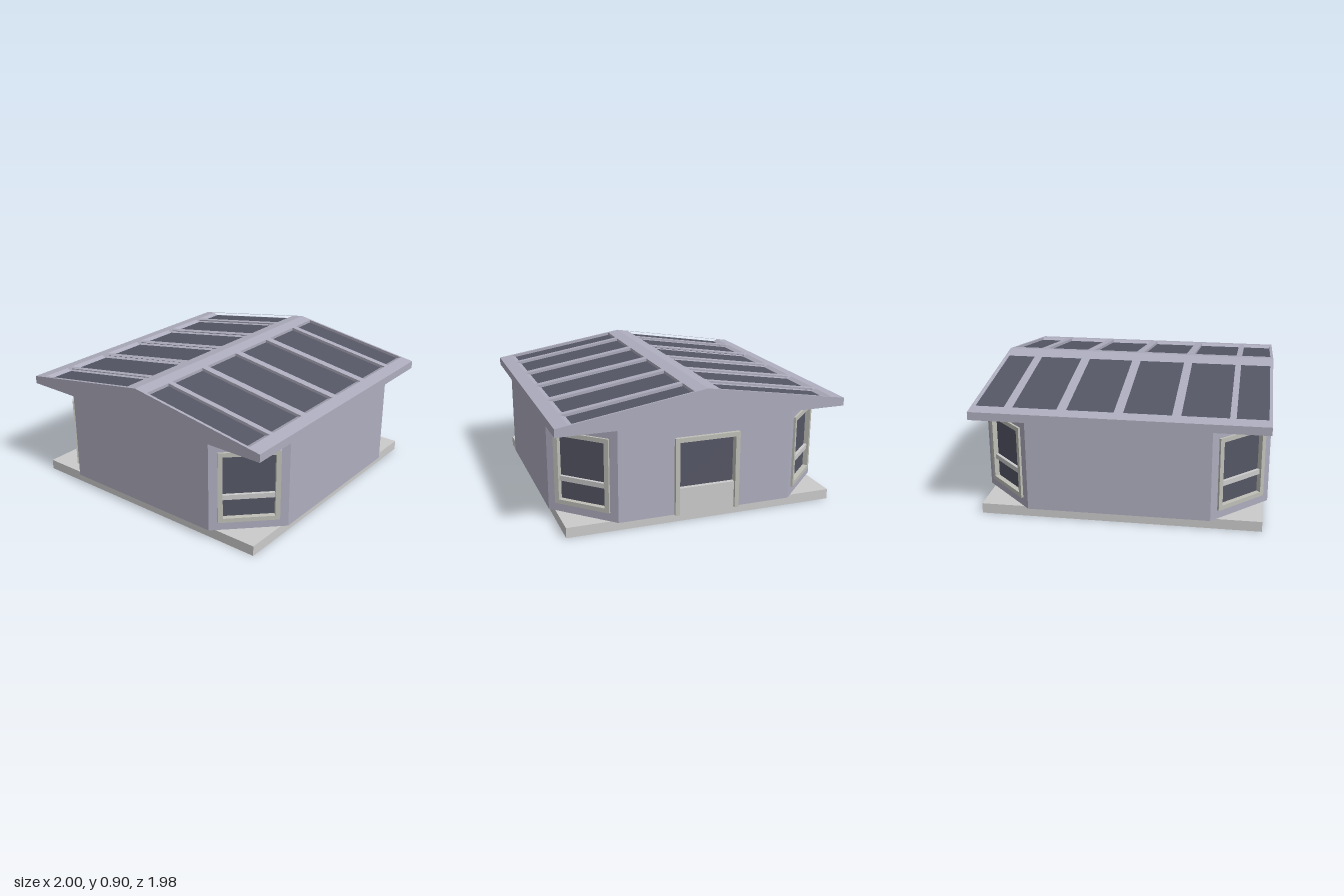
import * as THREE from 'three';

const mat = (color) => new THREE.MeshStandardMaterial({ color });
const wallMat = mat(0xaeadbe);
const glassMat = mat(0x545665);
const trimMat = mat(0xbfbfb8);
const greyMat = mat(0xcccccc);
const undersideMat = mat(0xf06a4a);

const FRONT = 0.985, BACK = -0.965, MID = (FRONT + BACK) / 2, LENGTH = FRONT - BACK;
const FLOOR = 0.07, EAVE = 0.69, SLOPE = 0.16, RIDGE = 0.905, RECESS = 0.022;

function mesh(name, geometry, material, parent) {
  const m = new THREE.Mesh(geometry, material);
  m.name = name;
  parent.add(m);
  return m;
}

function box(name, w, h, d, x, y, z, material, parent) {
  const m = mesh(name, new THREE.BoxGeometry(w, h, d), material, parent);
  m.position.set(x, y, z);
  return m;
}

const polygon = (points) => new THREE.Shape(points.map(([x, y]) => new THREE.Vector2(x, y)));
const rect = (x0, y0, x1, y1) => polygon([[x0, y0], [x1, y0], [x1, y1], [x0, y1]]);
const extrude = (shape, depth) => new THREE.ExtrudeGeometry(shape, { depth, bevelEnabled: false });

// Upright slab over a plan shape, sheared to follow the roof pitch
function pitched(shape, depth, y) {
  const g = extrude(shape, depth).rotateX(-Math.PI / 2).translate(0, y, 0);
  const p = g.attributes.position;
  for (let i = 0; i < p.count; i++) p.setY(i, p.getY(i) - SLOPE * Math.abs(p.getX(i)));
  g.computeVertexNormals();
  return g;
}

// Corner window in wall coordinates: +z points outward
function addWindow(parent) {
  const group = new THREE.Group();
  group.name = 'cornerWindow';
  const outline = rect(-0.202, 0.13, 0.202, 0.63);
  outline.holes.push(rect(-0.17, 0.16, 0.17, 0.6));
  mesh('windowFrame', extrude(outline, 0.037).translate(0, 0, -0.022), trimMat, group);
  box('windowGlass', 0.35, 0.45, 0.006, 0, 0.38, -0.023, glassMat, group);
  box('windowBar', 0.338, 0.034, 0.022, 0, 0.306, -0.01, greyMat, group);
  parent.add(group);
}

// Door in wall coordinates: +z points outward
function addDoor(parent) {
  const group = new THREE.Group();
  group.name = 'door';
  const outline = polygon([[-0.225, FLOOR], [-0.195, FLOOR], [-0.195, 0.57], [0.195, 0.57],
    [0.195, FLOOR], [0.225, FLOOR], [0.225, 0.6], [-0.225, 0.6]]);
  mesh('doorFrame', extrude(outline, 0.055).translate(0, 0, -0.03), trimMat, group);
  box('doorPanel', 0.39, 0.18, 0.036, 0, 0.16, -0.012, greyMat, group);
  box('doorGlass', 0.4, 0.33, 0.006, 0, 0.41, -0.027, glassMat, group);
  parent.add(group);
}

function addWalls(model) {
  const walls = new THREE.Group();
  walls.name = 'walls';
  model.add(walls);
  const plan = [[0.605, FRONT], [0.975, 0.62], [0.975, -0.595], [0.605, BACK],
    [-0.605, BACK], [-0.975, -0.595], [-0.975, 0.62], [-0.605, FRONT]];
  plan.forEach(([ax, az], i) => {
    const [bx, bz] = plan[(i + 1) % plan.length];
    const half = Math.hypot(bx - ax, bz - az) / 2;
    const side = new THREE.Group();
    side.name = 'wallSide';
    side.position.set((ax + bx) / 2, 0, (az + bz) / 2);
    side.rotation.y = Math.atan2(-(bz - az), bx - ax);
    const shape = rect(-half, FLOOR, half, EAVE);
    const isCorner = i % 2 === 0, isBack = i === 3;
    if (isCorner) shape.holes.push(rect(-0.17, 0.16, 0.17, 0.6));
    if (isBack) shape.holes.push(rect(-0.195, 0.25, 0.195, 0.57));
    mesh('wallPanel', new THREE.ShapeGeometry(shape), wallMat, side);
    if (isCorner) addWindow(side);
    if (isBack) addDoor(side);
    walls.add(side);
  });
  // Underside of the walls where they overhang the slab
  const cap = new THREE.ShapeGeometry(polygon(plan)).rotateX(Math.PI / 2);
  mesh('wallUnderside', cap.translate(0, FLOOR + 0.001, 0), wallMat, walls);
}

function addRoof(model) {
  const roof = new THREE.Group();
  roof.name = 'roof';
  model.add(roof);
  const top = RIDGE - RECESS;
  const profile = polygon([[-1, EAVE], [1, EAVE], [1, top - SLOPE], [0, top], [-1, top - SLOPE]]);
  mesh('roofBody', extrude(profile, LENGTH).translate(0, 0, BACK), wallMat, roof);

  const bays = [[-0.95, -0.745], [-0.7, -0.395], [-0.34, -0.02],
    [0.035, 0.355], [0.41, 0.72], [0.76, 0.965]];
  const inner = 0.088, outer = 0.91, sill = 0.875;
  for (const s of [-1, 1]) {
    // Raised grid with an opening for every skylight
    const grid = rect(0, -FRONT, s, -BACK);
    for (const [z0, z1] of bays) grid.holes.push(rect(s * inner, -z1, s * outer, -z0));
    mesh('roofGrid', pitched(grid, RECESS, top), wallMat, roof);

    for (const [z0, z1] of bays) {
      mesh('skylightGlass', pitched(rect(s * inner, -z1, s * outer, -z0), 0.002, top), glassMat, roof);
      // Slanted sill at the lower end of the skylight
      const wedge = polygon([[s * outer, RIDGE - SLOPE * outer], [s * sill, top + 0.002 - SLOPE * sill],
        [s * outer, top - SLOPE * outer]]);
      mesh('skylightSill', extrude(wedge, z1 - z0).translate(0, 0, z0), wallMat, roof);
    }
  }
}

export function createModel() {
  const model = new THREE.Group();
  model.name = 'house';
  // Foundation slab with a coloured underside
  box('foundation', 1.88, FLOOR, 1.88, 0, FLOOR / 2, MID + 0.005,
    [greyMat, greyMat, greyMat, undersideMat, greyMat, greyMat], model);
  addWalls(model);
  addRoof(model);
  return model;
}
